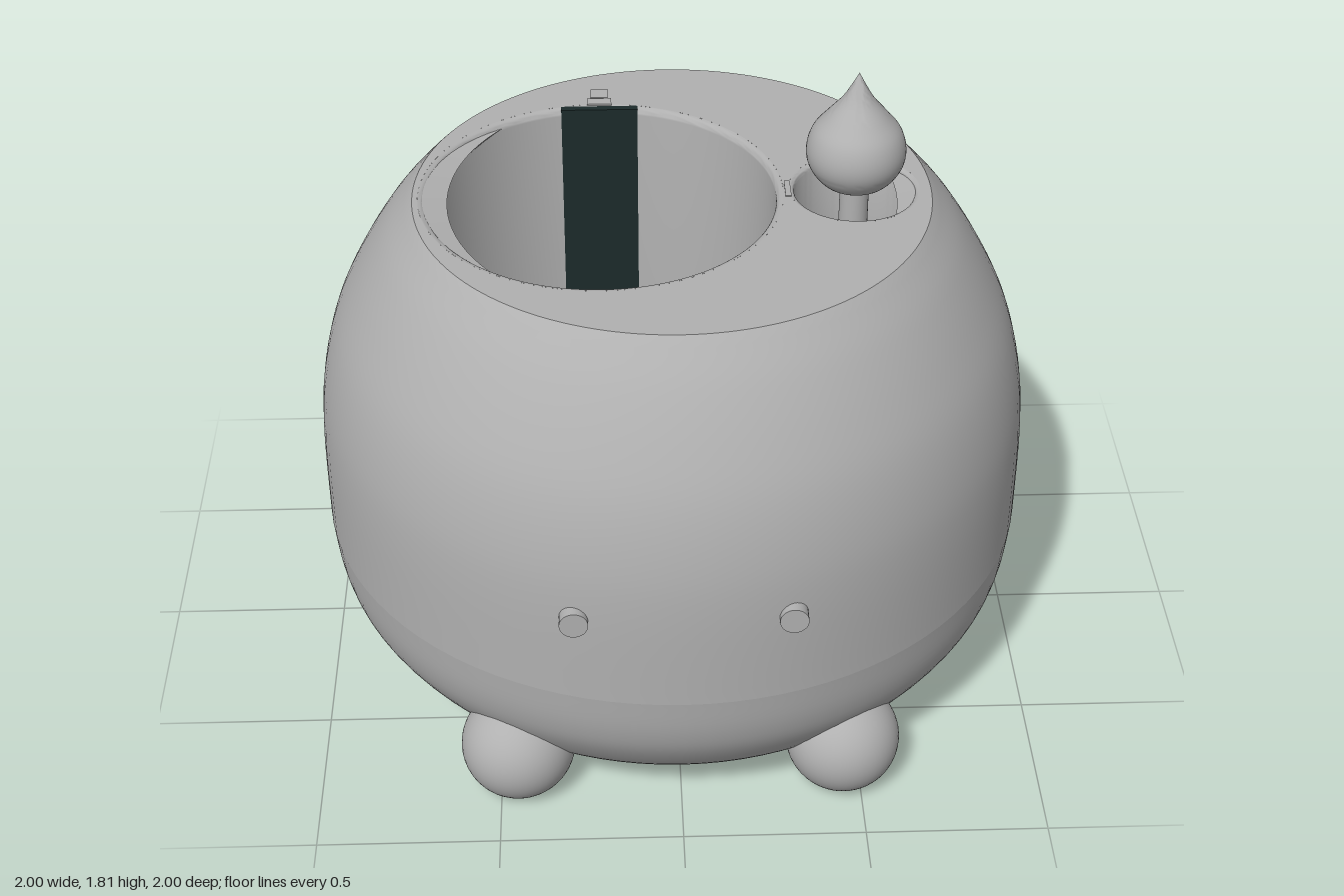
import * as THREE from 'three';
import { toCreasedNormals } from 'three/addons/utils/BufferGeometryUtils.js';

const V = (x, y) => new THREE.Vector2(x, y);
const TOP = 1.455, DECK = 0.48, FLOOR = 0.085;
const POT_X = -0.195, CUP_X = 0.5;

export function createModel() {
  const model = new THREE.Group();
  const grey = new THREE.MeshStandardMaterial({ color: 0xb0b0b0, side: THREE.DoubleSide });
  grey.name = 'matte grey';
  const dark = new THREE.MeshStandardMaterial({ color: 0x1c2b2b });
  dark.name = 'dark teal';

  const add = (name, geometry, x = 0, y = 0, z = 0, material = grey) => {
    const mesh = new THREE.Mesh(geometry, material);
    mesh.name = name;
    mesh.position.set(x, y, z);
    model.add(mesh);
    return mesh;
  };
  const lathe = (points, segments = 96, start = 0, length = Math.PI * 2) =>
    toCreasedNormals(new THREE.LatheGeometry(points, segments, start, length), 0.6);
  const curve = (pairs, n) => new THREE.SplineCurve(pairs.map(p => V(...p))).getPoints(n);

  // Rounded shell: upper ring, lower ring with one open quarter, and base
  const upper = curve([[1, DECK], [1, 0.75], [0.985, 0.92], [0.945, 1.08], [0.88, 1.22], [0.8, 1.35], [0.725, 1.44]], 32);
  upper.push(V(0.71, TOP));
  const lower = curve([[0.79, FLOOR], [0.87, 0.145], [0.95, 0.26], [0.985, 0.36], [1, DECK]], 18);
  const inset = pts => pts.map(p => V(p.x - 0.11, p.y)).reverse();
  const upperInner = inset(upper).slice(1);
  add('upperShell', lathe([...upper, ...upperInner, upper[0]]));
  add('lowerShell', lathe([...lower, ...inset(lower), lower[0]], 72, Math.PI * 1.5, Math.PI * 1.5));
  const base = curve([[0.53, 0.004], [0.61, 0.014], [0.7, 0.042], [0.79, FLOOR]], 12);
  add('base', lathe([V(0, 0.004), ...base, V(0, FLOOR)]));

  // Cut end of the shell beside the opening, with two screw holes
  const rim = new THREE.Shape([...lower, ...inset(lower)].map(p => V(-p.x, p.y)));
  add('openingEdge', new THREE.ShapeGeometry(rim));
  for (const [x, y] of [[-0.945, 0.41], [-0.84, 0.2]]) {
    const screw = add('screwSocket', new THREE.CylinderGeometry(0.018, 0.018, 0.008, 16), x, y, -0.002);
    screw.rotation.x = Math.PI / 2;
  }

  // Upright partition closing the other side of the opening
  const wall = new THREE.Shape([
    V(0.6, FLOOR), V(0.6, 0.43), V(0, 0.43), ...lower.slice().reverse().map(p => V(-p.x * 0.997, p.y)),
  ]);
  const partition = add('partition', new THREE.ExtrudeGeometry(wall, { depth: 0.04, bevelEnabled: false }));
  partition.rotation.y = -Math.PI / 2;
  partition.scale.z = -1;

  // Flat top with the two round openings
  const top = new THREE.Shape().absarc(0, 0, 0.71, 0, Math.PI * 2);
  for (const [x, r] of [[POT_X, 0.5], [CUP_X, 0.18]]) {
    top.holes.push(new THREE.Path().absarc(x, 0, r, 0, Math.PI * 2, true));
  }
  add('topFace', new THREE.ShapeGeometry(top, 96).rotateX(-Math.PI / 2), 0, TOP, 0);

  // Wells with softly rounded rims
  const well = (name, x, r, floor, fillet) => {
    const lip = [];
    for (let i = 0; i <= 6; i++) {
      const a = (i / 6) * Math.PI / 2;
      lip.push(V(r + fillet * (1 - Math.sin(a)), TOP - fillet * (1 - Math.cos(a))));
    }
    add(name, lathe([...lip, V(r, floor), V(0, floor)]), x);
    add(name + 'Outside', lathe([V(0, floor - 0.03), V(r + 0.02, floor - 0.03), V(r + 0.02, TOP - 0.04)]), x);
  };
  well('plantWell', POT_X, 0.48, 0.46, 0.02);
  well('flameWell', CUP_X, 0.165, 1.2, 0.015);

  // Raised part of the plant well floor
  const a0 = Math.acos(0.135 / 0.477);
  const step = new THREE.Shape().absarc(0, 0, 0.477, -a0, a0);
  step.closePath();
  add('floorStep', new THREE.ExtrudeGeometry(step, { depth: 0.012, bevelEnabled: false, curveSegments: 40 })
    .rotateX(-Math.PI / 2), POT_X, 0.46, 0);

  // Drain points
  for (const x of [-0.535, -0.365, -0.195]) {
    for (const z of [-0.17, 0, 0.17]) {
      add('drainPoint', new THREE.CylinderGeometry(0.011, 0.011, 0.006, 12), x, 0.462, z);
    }
  }

  // Sensor panel with its cable clip
  add('sensorPanel', new THREE.BoxGeometry(0.22, 0.86, 0.022), POT_X, 1.025, -0.478, dark);
  add('clipBase', new THREE.BoxGeometry(0.07, 0.008, 0.035), POT_X, TOP, -0.512);
  add('clipTab', new THREE.BoxGeometry(0.05, 0.008, 0.05), POT_X, TOP, -0.56);
  add('wellNotch', new THREE.BoxGeometry(0.016, 0.006, 0.08), 0.317, TOP, 0);

  // Drop-shaped flame on a stem
  const drop = curve([[0.04, 1.462], [0.09, 1.484], [0.126, 1.53], [0.136, 1.58], [0.122, 1.634],
    [0.085, 1.682], [0.045, 1.73], [0.02, 1.772], [0, 1.81]], 40);
  add('flame', lathe([V(0, 1.46), ...drop], 48), CUP_X);
  add('flameStem', new THREE.CylinderGeometry(0.04, 0.04, 0.27, 32), CUP_X, 1.33, 0);

  // Eyes and flat-bottomed feet
  for (const side of [-1, 1]) {
    const eye = add(side > 0 ? 'leftEye' : 'rightEye',
      new THREE.CylinderGeometry(0.038, 0.038, 0.05, 32), side * 0.285, 0.745, 0.96);
    eye.rotation.x = Math.PI / 2;
    const foot = [V(0, -0.137), V(0.077, -0.137)];
    for (let i = 0; i <= 30; i++) {
      const a = -1.06 + (i / 30) * (Math.PI / 2 + 1.06);
      foot.push(V(0.158 * Math.cos(a), 0.155 * Math.sin(a)));
    }
    add(side > 0 ? 'leftFoot' : 'rightFoot', lathe(foot, 48), side * 0.45, 0.137, 0.755);
  }

  // Small socket at the back
  const port = add('cablePort', new THREE.BoxGeometry(0.04, 0.045, 0.012), 0.17, 0.535, -0.984);
  port.rotation.y = -0.17;

  return model;
}
